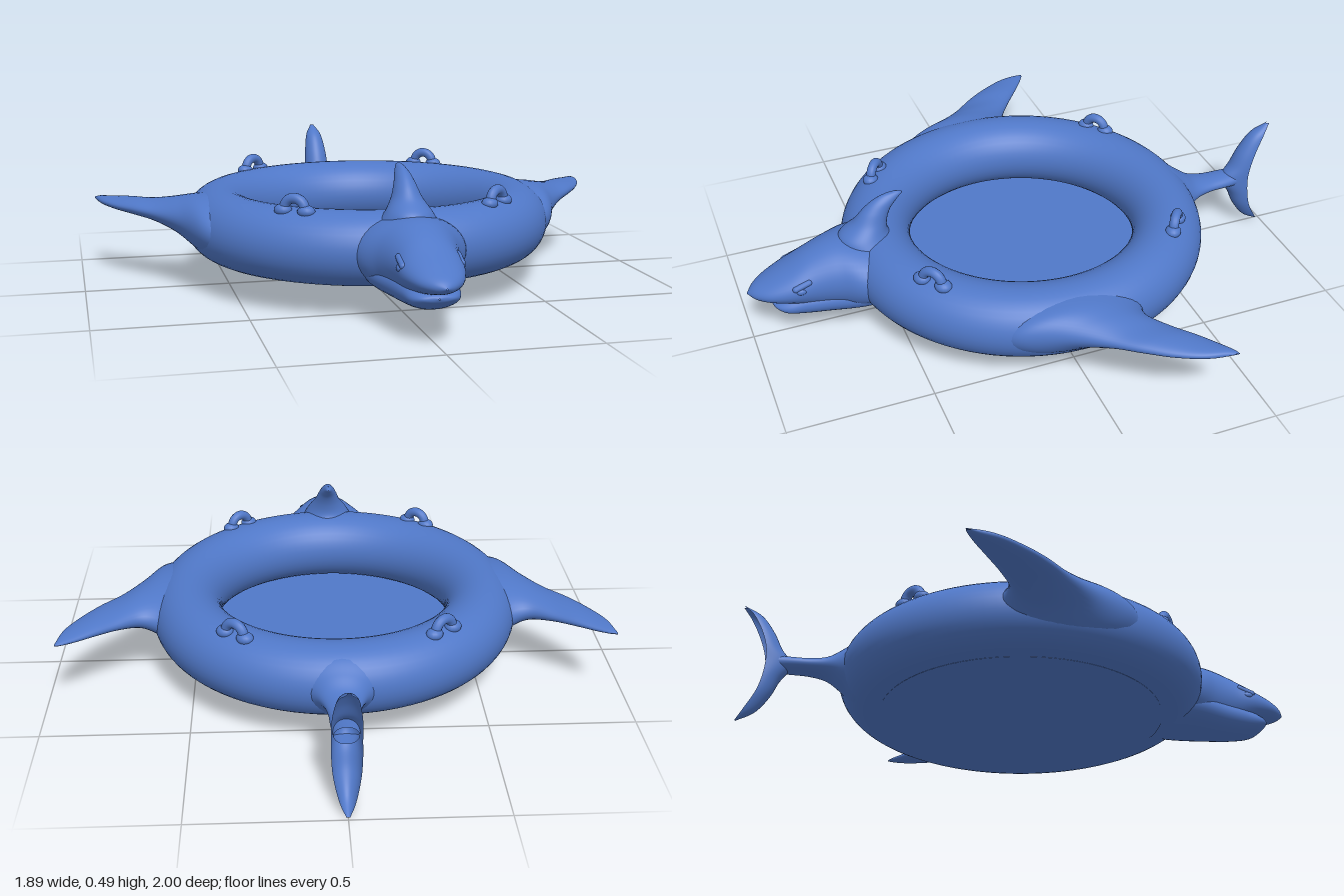
import * as THREE from 'three';

const material = new THREE.MeshStandardMaterial({ color: 0x5078c8, side: THREE.DoubleSide });

// Maps (across, up, along) to world axes, keeping the handedness for each loft axis
const AXES = {
  x: (a, b, t) => [t, a, b],
  y: (a, b, t) => [b, t, a],
  z: (a, b, t) => [a, b, t],
};

// Smooth skin over elliptical sections: rows of [along, centreA, centreB, radiusA, radiusB]
function loft(axis, rows, { from = 0, to = Math.PI * 2, sides = 40, steps = 48 } = {}) {
  const centres = new THREE.CatmullRomCurve3(
    rows.map(([t, a, b]) => new THREE.Vector3(a, b, t)), false, 'catmullrom');
  const radii = new THREE.CatmullRomCurve3(
    rows.map((r) => new THREE.Vector3(r[3], r[4], 0)), false, 'catmullrom');
  const closed = to - from > 6.28;
  const columns = closed ? sides : sides + 1;
  const positions = [], index = [];
  for (let i = 0; i <= steps; i++) {
    const c = centres.getPoint(i / steps), r = radii.getPoint(i / steps);
    for (let j = 0; j < columns; j++) {
      const angle = from + (to - from) * j / sides;
      positions.push(...AXES[axis](
        c.x + Math.max(r.x, 0.001) * Math.cos(angle),
        c.y + Math.max(r.y, 0.001) * Math.sin(angle), c.z));
    }
  }
  for (let i = 0; i < steps; i++) {
    for (let j = 0; j < sides; j++) {
      const k = (j + 1) % columns;
      const a = i * columns + j, b = i * columns + k;
      const c = a + columns, d = b + columns;
      index.push(a, b, c, b, d, c);
    }
  }
  const geometry = new THREE.BufferGeometry();
  geometry.setAttribute('position', new THREE.Float32BufferAttribute(positions, 3));
  geometry.setIndex(index);
  geometry.computeVertexNormals();
  return geometry;
}

function add(parent, name, geometry, position = [0, 0, 0]) {
  const mesh = new THREE.Mesh(geometry, material);
  mesh.name = name;
  mesh.position.set(...position);
  parent.add(mesh);
  return mesh;
}

// Grab handle: an arch standing on two flattened pads
function createHandle() {
  const handle = new THREE.Group();
  handle.name = 'grabHandle';
  add(handle, 'handleArch', new THREE.TorusGeometry(0.037, 0.017, 14, 28, Math.PI));
  for (const side of [-1, 1]) {
    const pad = add(handle, 'handlePad', new THREE.SphereGeometry(0.03, 18, 12), [side * 0.042, -0.004, 0]);
    pad.scale.set(1, 0.7, 0.9);
  }
  return handle;
}

export function createModel() {
  const model = new THREE.Group();
  model.name = 'sharkPoolFloat';

  // Inflated ring and the flat floor closing its underside
  const ring = new THREE.TorusGeometry(0.525, 0.1235, 36, 96);
  ring.rotateX(Math.PI / 2);
  add(model, 'ring', ring, [0, 0.2225, 0]);
  add(model, 'floor', new THREE.CylinderGeometry(0.5, 0.5, 0.006, 72), [0, 0.104, 0]);

  // Head: overhanging snout above a shorter jaw
  add(model, 'snout', loft('z', [
    [0.5, 0, 0.22, 0.2, 0.11], [0.62, 0, 0.222, 0.18, 0.122], [0.7, 0, 0.225, 0.135, 0.12],
    [0.78, 0, 0.22, 0.11, 0.1], [0.86, 0, 0.213, 0.1, 0.066], [0.93, 0, 0.205, 0.075, 0.04],
    [0.975, 0, 0.2, 0.04, 0.022], [1, 0, 0.198, 0.002, 0.002],
  ]));
  add(model, 'jaw', loft('z', [
    [0.5, 0, 0.17, 0.15, 0.08], [0.62, 0, 0.165, 0.15, 0.075], [0.74, 0, 0.155, 0.115, 0.065],
    [0.82, 0, 0.15, 0.095, 0.055], [0.88, 0, 0.145, 0.08, 0.036], [0.915, 0, 0.148, 0.05, 0.014],
    [0.925, 0, 0.15, 0.002, 0.002],
  ]));
  for (const side of [-1, 1]) {
    const eye = add(model, 'eye', new THREE.SphereGeometry(0.014, 16, 12), [side * 0.098, 0.228, 0.83]);
    eye.scale.set(0.7, 0.8, 1.3);
    const brow = new THREE.CapsuleGeometry(0.011, 0.05, 6, 12);
    brow.rotateX(Math.PI / 2 + 0.35);
    add(model, 'brow', brow, [side * 0.092, 0.247, 0.825]);
  }

  // Dorsal fin leaning back over the ring
  add(model, 'dorsalFin', loft('y', [
    [0.31, 0.57, 0, 0.1, 0.1], [0.35, 0.58, 0, 0.085, 0.075], [0.39, 0.555, 0, 0.06, 0.05],
    [0.43, 0.53, 0, 0.05, 0.035], [0.46, 0.5, 0, 0.045, 0.024], [0.48, 0.47, 0, 0.035, 0.012],
    [0.488, 0.455, 0, 0.002, 0.002],
  ]));

  // Swept side fins, mirrored
  const fin = [
    [0.56, 0.22, 0.03, 0.115, 0.26], [0.62, 0.24, 0.02, 0.09, 0.21], [0.68, 0.255, -0.04, 0.06, 0.145],
    [0.75, 0.262, -0.115, 0.037, 0.115], [0.82, 0.267, -0.185, 0.028, 0.1],
    [0.88, 0.268, -0.25, 0.02, 0.08], [0.925, 0.27, -0.31, 0.012, 0.05], [0.945, 0.27, -0.36, 0.002, 0.008],
  ];
  add(model, 'leftFin', loft('x', fin));
  add(model, 'rightFin', loft('x', fin.map(([x, ...rest]) => [-x, ...rest]).reverse()));

  // Tail stem and the upright crescent fluke, hollow along its rear edge
  add(model, 'tailStem', loft('z', [
    [-0.88, 0, 0.225, 0.04, 0.03], [-0.82, 0, 0.225, 0.047, 0.027], [-0.75, 0, 0.225, 0.052, 0.027],
    [-0.69, 0, 0.225, 0.068, 0.038], [-0.64, 0, 0.225, 0.1, 0.07], [-0.59, 0, 0.222, 0.16, 0.105],
    [-0.53, 0, 0.222, 0.2, 0.12],
  ]));
  add(model, 'tailFluke', loft('y', [
    [0.003, -0.99, 0, 0.004, 0.005], [0.04, -0.965, 0, 0.04, 0.025], [0.1, -0.93, 0, 0.05, 0.042],
    [0.16, -0.912, 0, 0.06, 0.048], [0.225, -0.905, 0, 0.09, 0.048], [0.28, -0.91, 0, 0.06, 0.048],
    [0.34, -0.93, 0, 0.05, 0.042], [0.4, -0.962, 0, 0.038, 0.03], [0.437, -0.995, 0, 0.01, 0.006],
  ], { from: -Math.PI / 2, to: Math.PI / 2, sides: 24 }));

  // Four grab handles set along the ring
  for (const sx of [-1, 1]) {
    for (const sz of [-1, 1]) {
      const handle = createHandle();
      handle.position.set(sx * 0.342, 0.345, sz * 0.442);
      handle.rotation.y = sx * sz * 0.66;
      model.add(handle);
    }
  }
  return model;
}
